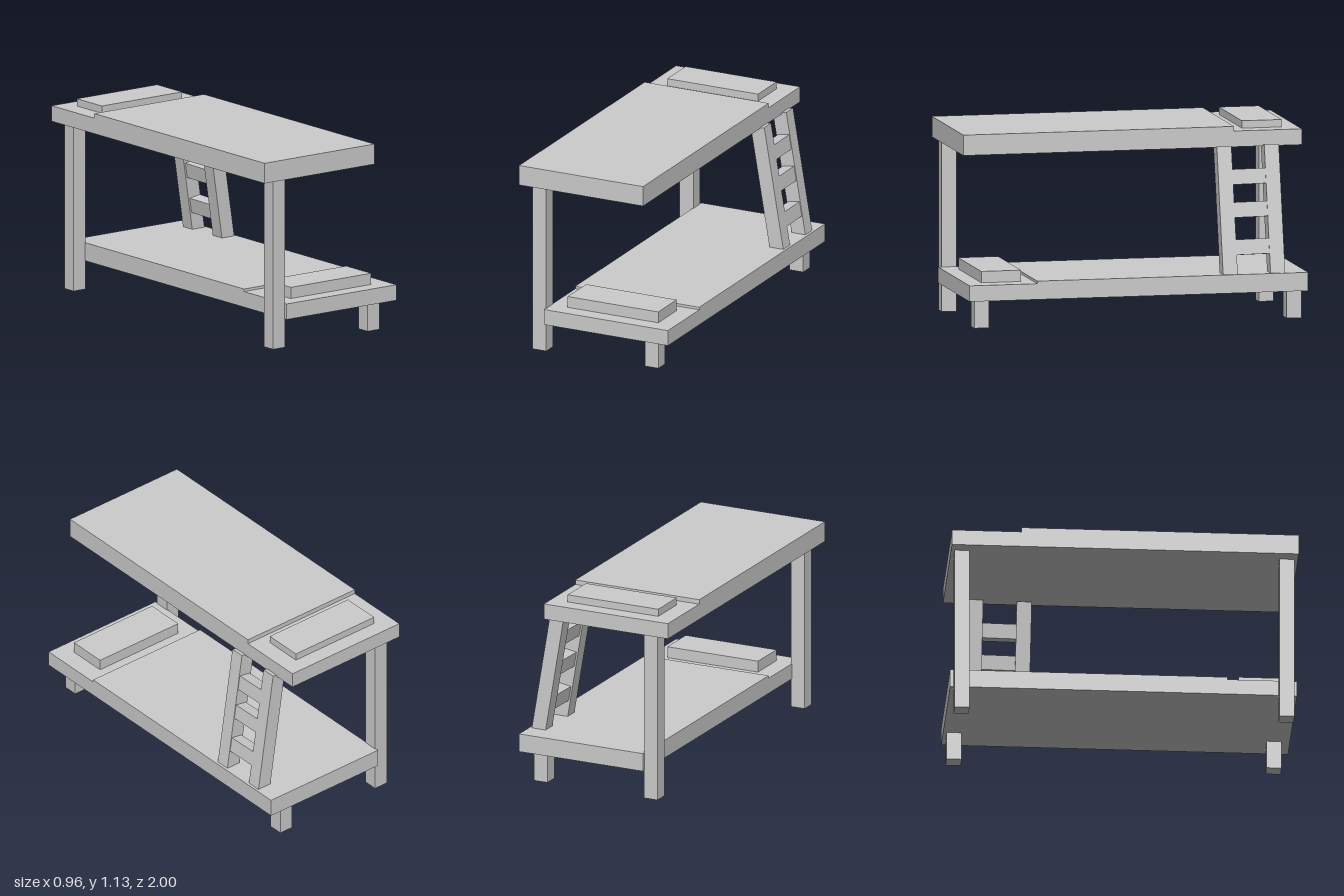
import * as THREE from 'three';

const material = new THREE.MeshStandardMaterial({ color: 0xcccccc, flatShading: true });

export function createModel() {
  const model = new THREE.Group();
  model.name = 'bunkBed';

  // Box given by its min and max corner on each axis
  function slab(name, [x0, x1], [y0, y1], [z0, z1], parent = model) {
    const mesh = new THREE.Mesh(new THREE.BoxGeometry(x1 - x0, y1 - y0, z1 - z0), material);
    mesh.position.set((x0 + x1) / 2, (y0 + y1) / 2, (z0 + z1) / 2);
    mesh.name = name;
    parent.add(mesh);
  }

  // Mattress with its blanket: a stepped side profile extruded across the bed.
  // head is the sign of z at the pillow end.
  function bunk(name, x0, bottom, sheetTop, blanketTop, head) {
    const shape = new THREE.Shape([
      [-1, bottom], [1, bottom], [1, sheetTop], [0.6, sheetTop], [0.6, blanketTop], [-1, blanketTop],
    ].map(([z, y]) => new THREE.Vector2(-head * z, y)));
    const geometry = new THREE.ExtrudeGeometry(shape, { depth: 0.8, bevelEnabled: false });
    geometry.rotateY(Math.PI / 2).translate(x0, 0, 0);
    const mesh = new THREE.Mesh(geometry, material);
    mesh.name = name;
    model.add(mesh);
  }

  // Two bunks, offset sideways, with pillows at opposite ends
  bunk('upperBunk', -0.48, 0.995, 1.087, 1.114, -1);
  bunk('lowerBunk', -0.32, 0.168, 0.26, 0.275, 1);
  slab('upperPillow', [-0.37, 0.215], [1.08, 1.13], [-0.905, -0.67]);
  slab('lowerPillow', [-0.215, 0.37], [0.25, 0.326], [0.67, 0.905]);

  // Tall legs carry the upper bunk, short legs the lower one
  slab('tallLegFront', [-0.403, -0.315], [0, 1.0], [0.893, 0.98]);
  slab('tallLegBack', [-0.403, -0.315], [0, 1.0], [-0.98, -0.893]);
  slab('shortLegFront', [0.307, 0.394], [0, 0.18], [0.865, 0.952]);
  slab('shortLegBack', [0.307, 0.394], [0, 0.18], [-0.98, -0.893]);

  // Leaning ladder
  const ladder = new THREE.Group();
  ladder.name = 'ladder';
  ladder.position.set(0.363, 0.625, -0.68);
  ladder.rotation.set(0.014, 0, 0.16);
  model.add(ladder);
  for (const z of [-0.14, 0.14]) {
    slab('ladderRail', [-0.044, 0.044], [-0.38, 0.378], [z - 0.043, z + 0.043], ladder);
  }
  for (const y of [0.2, 0.01, -0.205]) {
    slab('ladderRung', [-0.034, 0.04], [y - 0.044, y + 0.044], [-0.1, 0.1], ladder);
  }

  return model;
}
